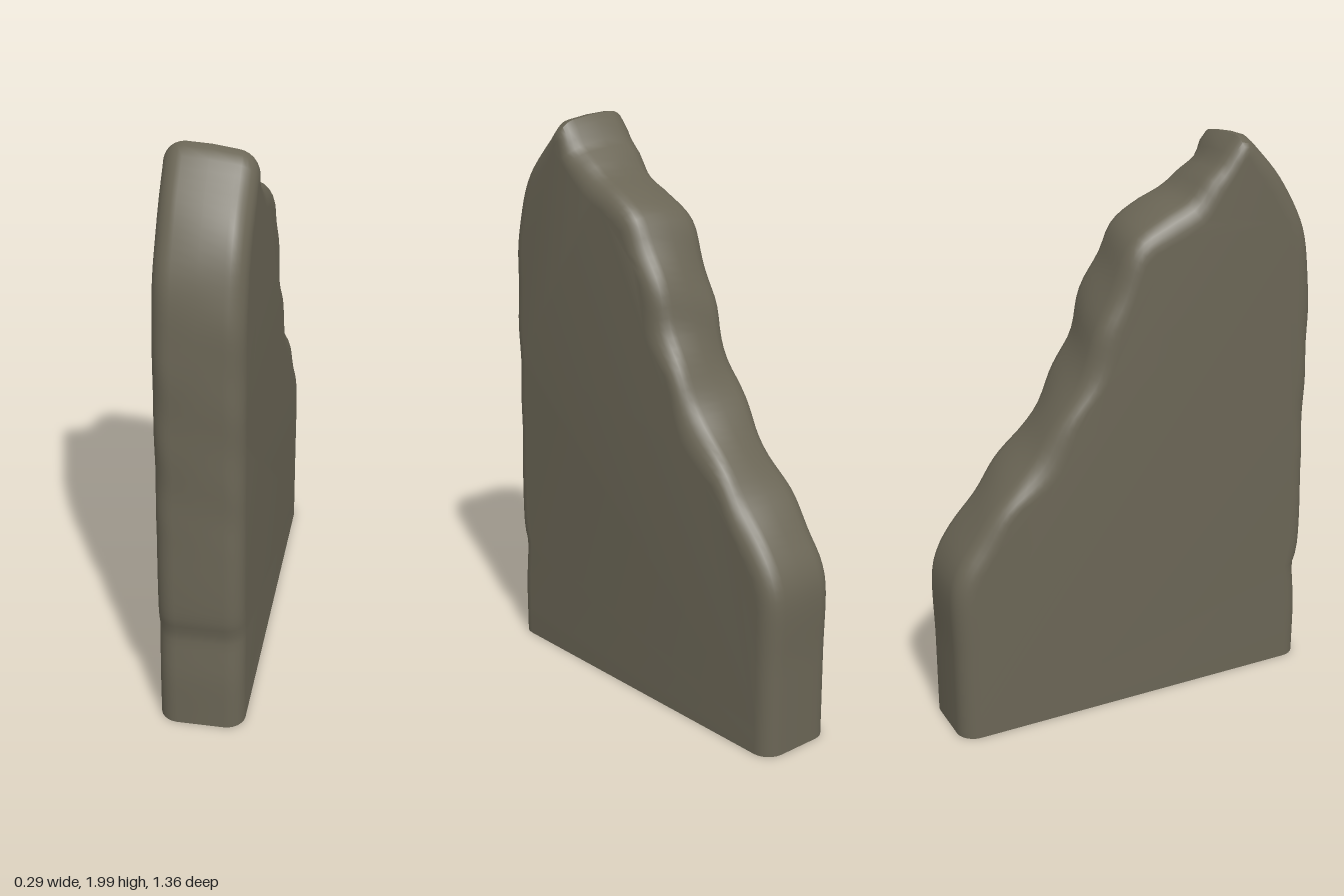
import * as THREE from 'three';
import { toCreasedNormals } from 'three/addons/utils/BufferGeometryUtils.js';

// Side outline as [z, y], from the low back foot over the peak to the front foot
const OUTLINE = [
  [-0.675, 0], [-0.675, 0.3], [-0.675, 0.56], [-0.65, 0.64], [-0.6, 0.72], [-0.46, 0.9], [-0.34, 1.03],
  [-0.22, 1.21], [-0.165, 1.32], [-0.13, 1.44], [-0.06, 1.58], [0, 1.7], [0.1, 1.765], [0.2, 1.81],
  [0.26, 1.87], [0.31, 1.91], [0.36, 1.985], [0.395, 2], [0.48, 1.92], [0.57, 1.81], [0.63, 1.7],
  [0.665, 1.57], [0.68, 1.42], [0.68, 0.9], [0.68, 0.43], [0.664, 0.375], [0.67, 0.28], [0.676, 0.2], [0.676, 0],
];
const HALF = 0.145, BEVEL = 0.065, SAMPLES = 130, ARC = 6;

function slabGeometry() {
  const curve = new THREE.CatmullRomCurve3(OUTLINE.map(([z, y]) => new THREE.Vector3(0, y, z)), false, 'centripetal');
  const points = curve.getSpacedPoints(SAMPLES);
  const n = points.length;

  // Inward directions, taken over a wide window so the bevel never folds over
  const inward = points.map((p, i) => {
    if (p.y < 0.5) return new THREE.Vector3(0, 0, -Math.sign(p.z));
    const t = points[Math.min(n - 1, i + 3)].clone().sub(points[Math.max(0, i - 3)]).normalize();
    return new THREE.Vector3(0, -t.z, t.y);
  });

  // Rounded profile across the thickness: [x, inset]
  const profile = [];
  for (let k = 0; k <= ARC; k++) {
    const a = (k / ARC) * Math.PI / 2;
    profile.push([-HALF + BEVEL * (1 - Math.cos(a)), BEVEL * (1 - Math.sin(a))]);
  }
  profile.push([0, 0]);
  for (let k = ARC; k >= 0; k--) profile.push([-profile[k][0], profile[k][1]]);

  // One cross-section per profile step, with uneven weathering on the broken edge
  const position = [], index = [];
  for (const [x, inset] of profile) {
    points.forEach((p, i) => {
      const broken = THREE.MathUtils.smoothstep(p.y, 0.6, 0.9) * (p.z < 0.36 ? 1 : 0.25);
      const wear = broken * 0.011 * (1 + Math.sin(p.y * 23 + x * 14)) * Math.abs(x) / HALF;
      const d = inset * (1 + broken * 0.2 * Math.sin(p.y * 17 + x * 20)) + wear;
      const slope = p.y > 1.8 ? Math.max(0, x + 0.06) * 0.12 * (p.y - 1.8) / 0.2 : 0;
      position.push(x, Math.max(0, p.y + inward[i].y * d - slope), p.z + inward[i].z * d);
    });
  }

  // Rim and underside
  for (let j = 0; j < profile.length - 1; j++) {
    for (let i = 0; i < n; i++) {
      const i2 = (i + 1) % n;
      const a = j * n + i, b = j * n + i2, c = b + n, d = a + n;
      index.push(a, b, c, a, c, d);
    }
  }

  // Flat faces
  for (const [layer, flip] of [[0, true], [profile.length - 1, false]]) {
    const base = layer * n;
    const contour = points.map((_, i) => new THREE.Vector2(-position[(base + i) * 3 + 2], position[(base + i) * 3 + 1]));
    for (const [a, b, c] of THREE.ShapeUtils.triangulateShape(contour, [])) {
      if (flip) index.push(base + a, base + c, base + b);
      else index.push(base + a, base + b, base + c);
    }
  }

  const geometry = new THREE.BufferGeometry();
  geometry.setAttribute('position', new THREE.Float32BufferAttribute(position, 3));
  geometry.setIndex(index);
  return toCreasedNormals(geometry, 0.7);
}

export function createModel() {
  const stone = new THREE.MeshStandardMaterial({ color: 0x6a6555 });
  stone.name = 'stone';

  const slab = new THREE.Mesh(slabGeometry(), stone);
  slab.name = 'brokenStoneSlab';

  const group = new THREE.Group();
  group.name = 'stoneSlab';
  group.add(slab);
  return group;
}
